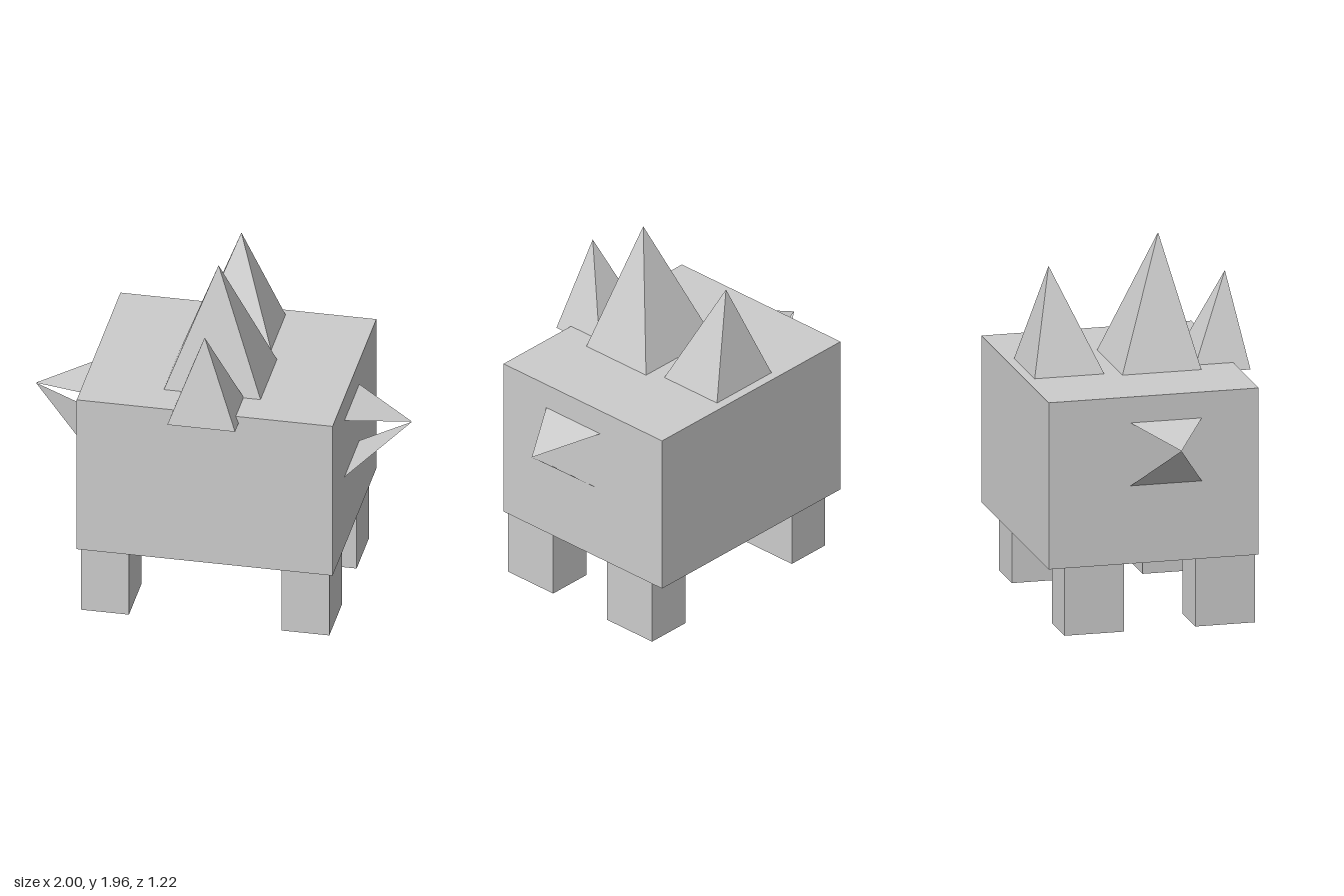
import * as THREE from 'three';

export function createModel() {
  const model = new THREE.Group();
  const grey = new THREE.MeshStandardMaterial({ color: 0xcccccc });
  grey.name = 'lightGrey';
  // Open, two-sided version of the same colour for the side fins
  const finGrey = new THREE.MeshStandardMaterial({ color: 0xcccccc, side: THREE.DoubleSide });
  finGrey.name = 'lightGreyOpen';

  const add = (name, geometry, material = grey) => {
    const mesh = new THREE.Mesh(geometry, material);
    mesh.name = name;
    model.add(mesh);
    return mesh;
  };

  // Box given by its limits on each axis
  const box = (name, [x0, x1], [y0, y1], [z0, z1]) =>
    add(name, new THREE.BoxGeometry(x1 - x0, y1 - y0, z1 - z0))
      .position.set((x0 + x1) / 2, (y0 + y1) / 2, (z0 + z1) / 2);

  // Flat-faced surface from triangles of corner points
  const facets = (triangles) => {
    const g = new THREE.BufferGeometry().setFromPoints(
      triangles.flat().map((p) => new THREE.Vector3(...p)));
    g.computeVertexNormals();
    return g;
  };

  // Body and four block legs
  box('body', [-0.68, 0.68], [0.37, 1.27], [-0.61, 0.52]);
  for (const [side, x] of [['Left', [0.405, 0.66]], ['Right', [-0.66, -0.405]]]) {
    box('front' + side + 'Leg', x, [0, 0.37], [0.185, 0.507]);
    box('back' + side + 'Leg', x, [0, 0.37], [-0.52, -0.198]);
  }

  // Four-sided back spikes with off-centre tips
  const spike = (name, w, y, zBack, zFront, tipY, tipZ) => {
    const c = [[-w, y, zFront], [w, y, zFront], [w, y, zBack], [-w, y, zBack]];
    const tip = [0, tipY, tipZ];
    const sides = c.map((p, i) => [p, c[(i + 1) % 4], tip]);
    add(name, facets([...sides, [c[0], c[2], c[1]], [c[0], c[3], c[2]]]));
  };
  spike('frontSpike', 0.18, 1.23, 0.3, 0.61, 1.725, 0.52);
  spike('middleSpike', 0.257, 1.27, -0.1, 0.325, 1.955, 0.16);
  spike('rearSpike', 0.208, 1.27, -0.56, -0.185, 1.815, -0.43);

  // Side fins: an upper and a lower sheet meeting at the tip, open front and back
  for (const [name, s] of [['leftFin', 1], ['rightFin', -1]]) {
    const at = (y, z) => [s * 0.68, y, z];
    const tip = [s, 1.05, 0.02];
    const top = [at(1.13, 0.215), tip, at(1.13, -0.17)];
    const bottom = [at(0.79, -0.17), tip, at(0.79, 0.215)];
    if (s < 0) { top.reverse(); bottom.reverse(); }
    add(name, facets([top, bottom]), finGrey);
  }
  return model;
}
